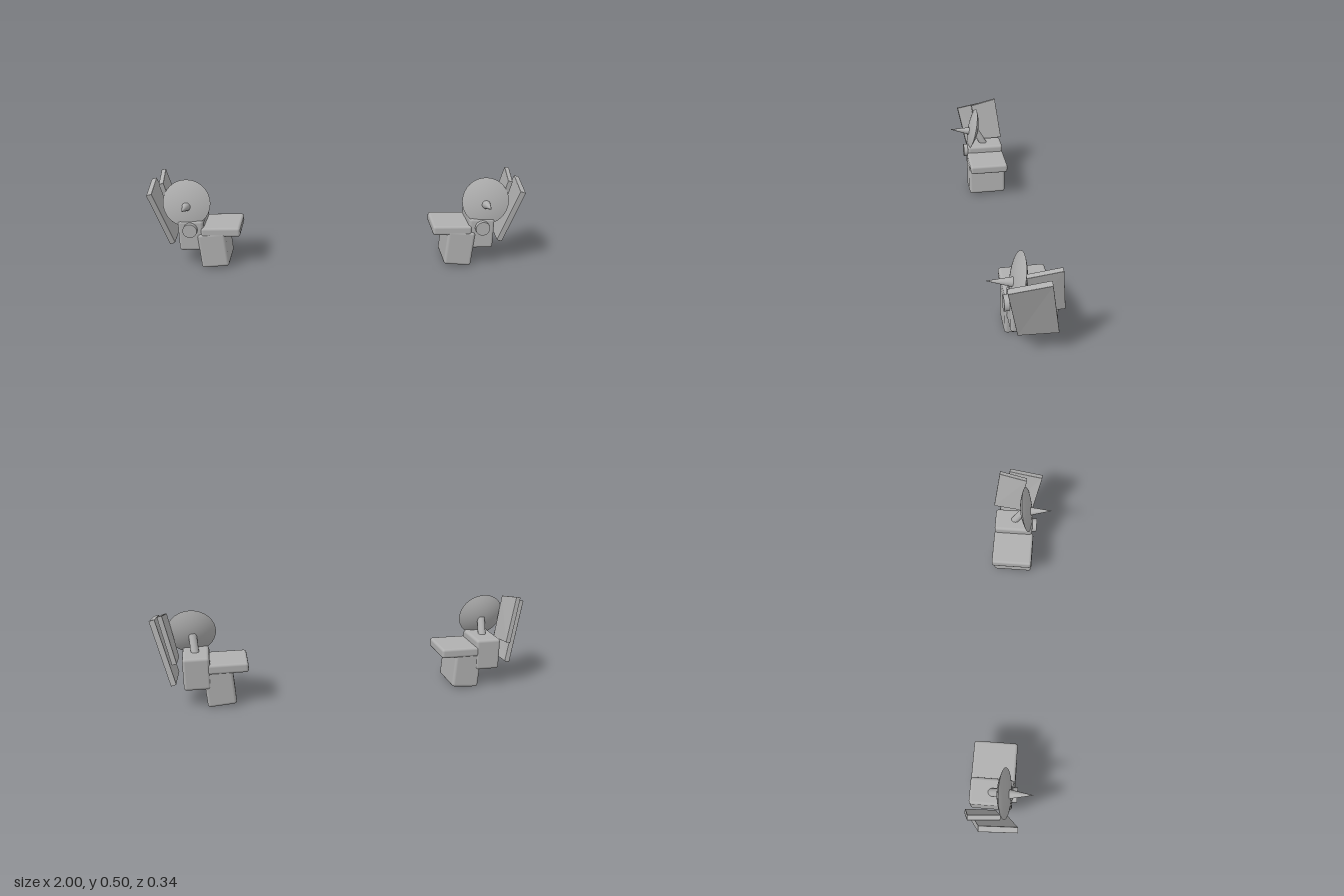
import * as THREE from 'three';
import { RoundedBoxGeometry } from 'three/addons/geometries/RoundedBoxGeometry.js';

const grey = new THREE.MeshStandardMaterial({ color: 0xb0b0b0 });
grey.name = 'grey';
const V = (x, y, z) => new THREE.Vector3(x, y, z);

function add(parent, name, geometry) {
  const mesh = new THREE.Mesh(geometry, grey);
  mesh.name = name;
  parent.add(mesh);
  return mesh;
}

// Softly bevelled block given by its ranges on each axis
function block(parent, name, [x0, x1], [y0, y1], [z0, z1], bevel) {
  const m = add(parent, name, new RoundedBoxGeometry(x1 - x0, y1 - y0, z1 - z0, 2, bevel));
  m.position.set((x0 + x1) / 2, (y0 + y1) / 2, (z0 + z1) / 2);
  return m;
}

// Thin panel stretched between four outer corners, thickness going inward
function panel(parent, name, [bf, bb, tb, tf], thickness) {
  const g = new RoundedBoxGeometry(1, 1, thickness, 2, 0.006);
  const p = g.attributes.position;
  const normal = bb.clone().sub(bf).cross(tf.clone().sub(bf)).normalize();
  for (let i = 0; i < p.count; i++) {
    const u = p.getX(i) + 0.5, v = p.getY(i) + 0.5;
    const low = bf.clone().lerp(bb, u), high = tf.clone().lerp(tb, u);
    low.lerp(high, v).addScaledVector(normal, p.getZ(i) - thickness / 2);
    p.setXYZ(i, low.x, low.y, low.z);
  }
  g.computeVertexNormals();
  return add(parent, name, g);
}

// Cylinder or cone running from a to b
function rod(parent, name, a, b, r0, r1, sides = 24) {
  const m = add(parent, name, new THREE.CylinderGeometry(r1, r0, a.distanceTo(b), sides));
  m.position.copy(a).lerp(b, 0.5);
  m.quaternion.setFromUnitVectors(V(0, 1, 0), b.clone().sub(a).normalize());
  return m;
}

function createPod() {
  const pod = new THREE.Group();

  // Blocks: tilted foot, main body and the shelf reaching inward
  const foot = block(pod, 'foot', [0.595, 0.745], [0.007, 0.205], [-0.148, 0.075], 0.016);
  foot.rotation.z = -0.075;
  block(pod, 'body', [0.715, 0.852], [0.105, 0.277], [-0.152, 0.066], 0.016);
  block(pod, 'shelf', [0.52, 0.73], [0.185, 0.237], [-0.153, 0.074], 0.014);

  // Round knob on the front of the body
  rod(pod, 'knob', V(0.785, 0.229, 0.05), V(0.785, 0.229, 0.09), 0.038, 0.038, 32);

  // Dish: two shallow domes meeting at a sharp rim, with a spike in front
  rod(pod, 'dishStem', V(0.785, 0.25, -0.05), V(0.795, 0.355, 0.01), 0.021, 0.021);
  const dish = new THREE.Group();
  dish.name = 'dish';
  const dome = (name, depth, side) => {
    const pts = [];
    for (let i = 0; i <= 10; i++) {
      const t = i / 10;
      const r = 0.126 * (side > 0 ? 1 - t : t);
      const h = depth * (1 - (r / 0.126) ** 2) * side;
      pts.push(new THREE.Vector2(r, h));
    }
    add(dish, name, new THREE.LatheGeometry(pts, 40)).rotation.x = Math.PI / 2;
  };
  dome('dishFront', 0.02, 1);
  dome('dishBack', 0.034, -1);
  dish.position.set(0.8, 0.367, 0.03);
  dish.rotation.x = -0.25;
  pod.add(dish);
  rod(pod, 'spike', V(0.8, 0.352, 0.04), V(0.8, 0.372, 0.168), 0.025, 0.001);

  // Two leaning panels on the outer side
  panel(pod, 'outerPanel', [
    V(0.905, 0.135, 0.045), V(0.915, 0.135, -0.143),
    V(1.0, 0.467, -0.081), V(0.99, 0.438, 0.106),
  ], 0.028);
  panel(pod, 'innerPanel', [
    V(0.893, 0.24, -0.012), V(0.9, 0.257, -0.167),
    V(0.955, 0.502, -0.135), V(0.94, 0.471, 0.019),
  ], 0.024);
  return pod;
}

export function createModel() {
  const model = new THREE.Group();
  model.name = 'podPair';
  const left = createPod();
  left.name = 'leftPod';
  const right = createPod();
  right.name = 'rightPod';
  right.scale.x = -1;
  model.add(left, right);
  return model;
}
